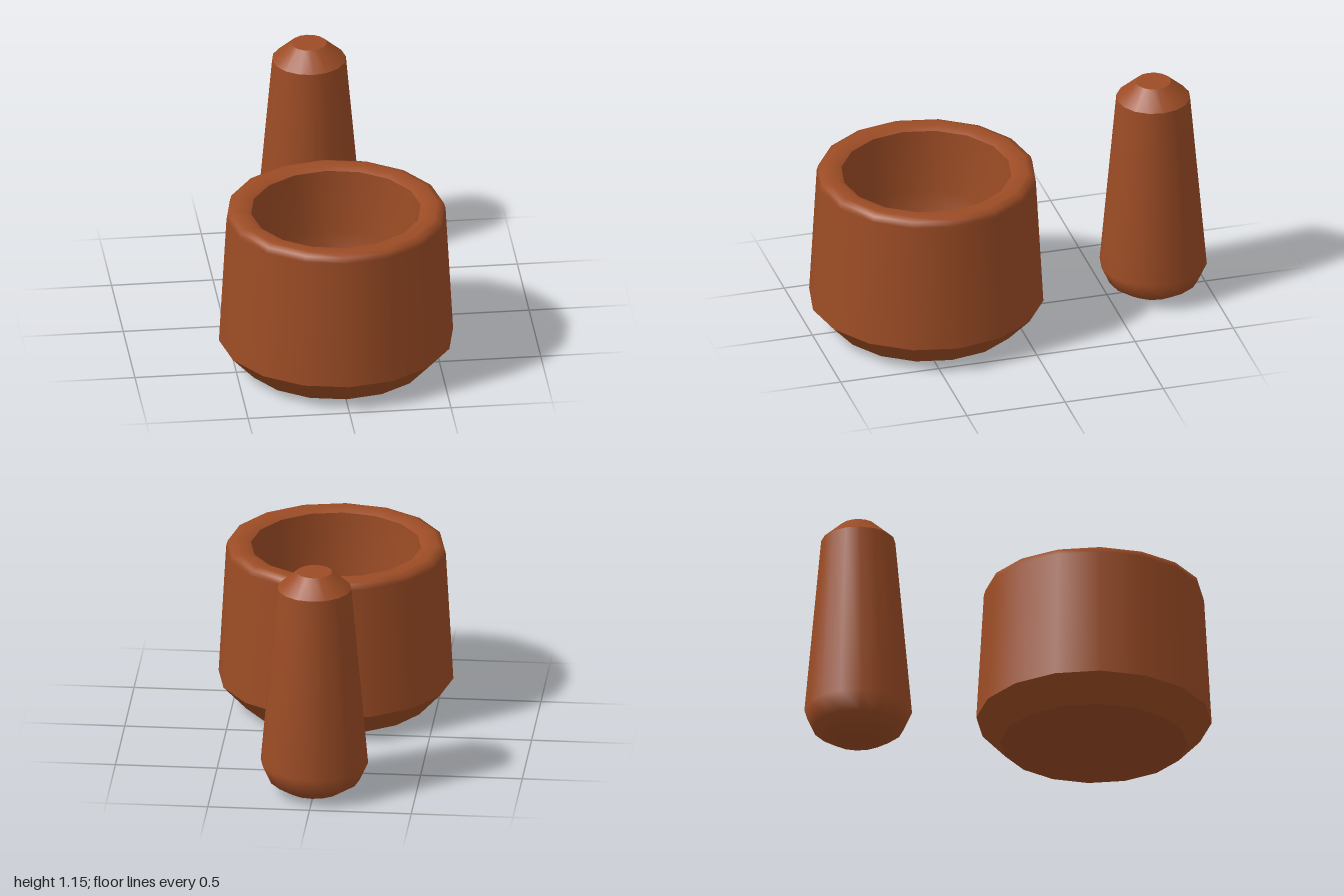
import * as THREE from 'three';
import { mergeGeometries } from 'three/addons/utils/BufferGeometryUtils.js';

const SIDES = 16;

// Turned part: each profile is smooth within itself, with a hard edge where profiles meet.
function turned(name, material, profiles, z) {
  const parts = profiles.map((profile) =>
    new THREE.LatheGeometry(profile.map(([r, y]) => new THREE.Vector2(r, y)), SIDES));
  const mesh = new THREE.Mesh(mergeGeometries(parts), material);
  mesh.name = name;
  mesh.position.z = z;
  return mesh;
}

export function createModel() {
  const group = new THREE.Group();
  group.name = 'mortarAndPestle';
  const clay = new THREE.MeshStandardMaterial({ color: 0x9c4c25 });
  clay.name = 'brown clay';

  group.add(turned('mortar', clay, [
    [[0, 0.015], [0.46, 0.015]], // base
    [[0.46, 0.015], [0.577, 0.14]], // lower bevel
    [[0.577, 0.14], [0.54, 0.8], [0.532, 0.828], [0.5, 0.84], [0.45, 0.84], [0.418, 0.825]], // wall and rim
    [[0.418, 0.825], [0.405, 0.5], [0.375, 0.32], [0.3, 0.21], [0.17, 0.16], [0, 0.15]], // hollow
  ], 0.42));

  group.add(turned('pestle', clay, [
    [[0, 0], [0.09, 0.002], [0.14, 0.01], [0.222, 0.062], [0.264, 0.155], [0.182, 1.07]], // rounded foot and shaft
    [[0.182, 1.07], [0.087, 1.155]], // top bevel
    [[0.087, 1.155], [0, 1.155]], // top
  ], -0.736));

  return group;
}
